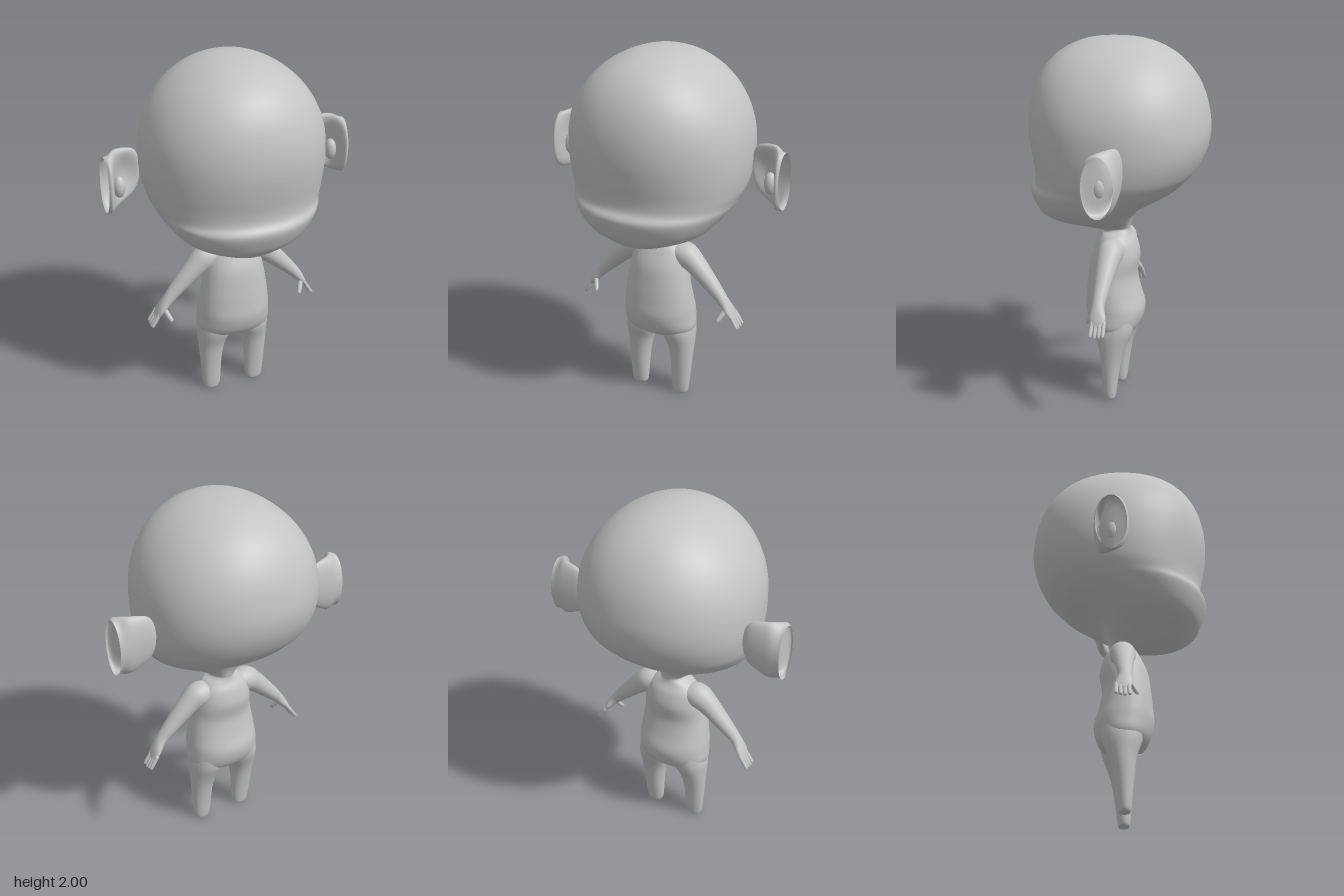
import * as THREE from 'three';

const clay = new THREE.MeshStandardMaterial({ color: 0xc4c4c4, side: THREE.DoubleSide });
clay.name = 'grey clay';

// Smoothly interpolate a short table of cross-section rows
function refine(rows, steps) {
  const out = [];
  const last = rows.length - 1;
  for (let i = 0; i < last; i++) {
    const a = rows[Math.max(i - 1, 0)], b = rows[i], c = rows[i + 1], d = rows[Math.min(i + 2, last)];
    for (let s = 0; s < steps; s++) {
      const t = s / steps;
      out.push(b.map((v, k) => 0.5 * (2 * v + (c[k] - a[k]) * t +
        (2 * a[k] - 5 * v + 4 * c[k] - d[k]) * t * t + (3 * v - a[k] - 3 * c[k] + d[k]) * t * t * t)));
    }
  }
  out.push(rows[last]);
  return out;
}

// Skin a run of rings; point(row, cos, sin, previous, next) places each vertex
function loft(name, table, point, { sides = 32, steps = 5, capEnd = true } = {}) {
  const rows = refine(table, steps);
  const pos = [], idx = [];
  rows.forEach((row, i) => {
    const prev = rows[Math.max(i - 1, 0)], next = rows[Math.min(i + 1, rows.length - 1)];
    for (let j = 0; j < sides; j++) {
      const t = (j / sides) * Math.PI * 2;
      pos.push(...point(row, Math.cos(t), Math.sin(t), prev, next));
    }
  });
  for (let i = 0; i < rows.length - 1; i++) {
    for (let j = 0; j < sides; j++) {
      const a = i * sides + j, b = i * sides + (j + 1) % sides;
      idx.push(a, b, a + sides, b, b + sides, a + sides);
    }
  }
  const cap = (ring, flip) => {
    const centre = [0, 0, 0];
    for (let j = 0; j < sides; j++) for (let k = 0; k < 3; k++) centre[k] += pos[(ring * sides + j) * 3 + k] / sides;
    const c = pos.length / 3;
    pos.push(...centre);
    for (let j = 0; j < sides; j++) {
      const a = ring * sides + j, b = ring * sides + (j + 1) % sides;
      idx.push(c, flip ? a : b, flip ? b : a);
    }
  };
  cap(0, false);
  if (capEnd) cap(rows.length - 1, true);
  const geo = new THREE.BufferGeometry();
  geo.setAttribute('position', new THREE.Float32BufferAttribute(pos, 3));
  geo.setIndex(idx);
  geo.computeVertexNormals();
  const mesh = new THREE.Mesh(geo, clay);
  mesh.name = name;
  return mesh;
}

// Horizontal, slightly squared section: [y, halfWidth, zFront, zBack, centreX]
const squared = (v) => Math.sign(v) * Math.pow(Math.abs(v), 0.93);
function section([y, w, zf, zb, cx = 0], c, s) {
  return [cx + w * squared(c), y, (zf + zb) / 2 + (zf - zb) / 2 * squared(s)];
}

// Limb section: [x, y, z, radius in the front plane, radius in z]
function limb([x, y, z, r, rz], c, s, a, b) {
  const dx = b[0] - a[0], dy = b[1] - a[1], l = Math.hypot(dx, dy);
  return [x - (dy / l) * r * c, y + (dx / l) * r * c, z + rz * s];
}

// Ear section with a hollowed front: [x, halfHeight, zFront, zBack]
function earSection([x, h, zf, zb], c, s) {
  const u = (x - 0.474) / 0.208;
  const dent = s > 0 ? 0.06 * Math.sin(Math.PI * u) * s ** 3 : 0;
  return [x, 1.405 - 0.043 * u + h * c, (zf + zb) / 2 + (zf - zb) / 2 * s - dent];
}

// Domed skull: superellipse falling from the crown to the temples
function skullRows() {
  const rows = [];
  for (let i = 0; i < 8; i++) {
    const a = (i / 8) * Math.PI / 2;
    const k = Math.cos(a);
    const bulge = (p) => Math.pow(Math.max(1 - k ** p, 0), 1 / p);
    rows.push([1.5 + 0.5 * k, 0.49 * bulge(2), 0.483 * bulge(2.5), -0.48 * bulge(2.2)]);
  }
  return rows;
}

// Face, jaw, neck and belly, continuing down from the skull
const trunkRows = [
  [1.5, 0.49, 0.48, -0.48],
  [1.4, 0.488, 0.466, -0.46],
  [1.3, 0.472, 0.448, -0.41],
  [1.24, 0.45, 0.45, -0.355],
  [1.19, 0.425, 0.478, -0.3],
  [1.1, 0.355, 0.445, -0.145],
  [1.05, 0.28, 0.41, -0.09],
  [1.0, 0.16, 0.345, -0.065],
  [0.968, 0.085, 0.22, -0.058],
  [0.95, 0.07, 0.095, -0.057],
  [0.925, 0.11, 0.1, -0.065],
  [0.88, 0.145, 0.122, -0.09],
  [0.8, 0.165, 0.155, -0.106],
  [0.7, 0.18, 0.17, -0.092],
  [0.6, 0.195, 0.18, -0.11],
  [0.5, 0.204, 0.182, -0.135],
  [0.4, 0.192, 0.14, -0.105],
  [0.354, 0.05, 0.04, -0.03],
];

const legRows = [
  [0.5, 0.09, 0.12, -0.1, 0.1],
  [0.4, 0.097, 0.12, -0.095, 0.108],
  [0.3, 0.075, 0.09, -0.058, 0.126],
  [0.2, 0.062, 0.075, -0.032, 0.132],
  [0.03, 0.049, 0.06, -0.008, 0.13],
  [0, 0.036, 0.052, -0.002, 0.129],
];

// Arm runs into a flat palm
const armRows = [
  [0.08, 0.875, 0.015, 0.045, 0.06],
  [0.15, 0.86, 0.015, 0.07, 0.07],
  [0.215, 0.815, 0.018, 0.058, 0.06],
  [0.33, 0.7, 0.022, 0.04, 0.042],
  [0.385, 0.64, 0.024, 0.03, 0.035],
  [0.425, 0.585, 0.017, 0.02, 0.045],
  [0.452, 0.543, 0.011, 0.008, 0.037],
];

// Ear flares from a thin edge by the head to an open outer end
const earRows = [
  [0.474, 0.03, -0.105, -0.125],
  [0.485, 0.085, -0.09, -0.133],
  [0.52, 0.13, -0.07, -0.14],
  [0.61, 0.163, -0.03, -0.141],
  [0.66, 0.16, 0.05, -0.137],
  [0.682, 0.157, 0.03, -0.135],
];

// Tapered digit from root to tip
function digit(name, root, tip, r) {
  const rows = [[0, 1], [0.5, 1], [0.9, 0.85], [1, 0.4]].map(([t, k]) =>
    [...root.map((v, i) => v + (tip[i] - v) * t), r * k, r * k]);
  return loft(name, rows, limb, { sides: 10, steps: 3 });
}

function makeSide(name) {
  const side = new THREE.Group();
  side.name = name;
  side.add(loft('leg', legRows, section, { sides: 28 }));
  side.add(loft('arm', armRows, limb, { sides: 24 }));

  // Four fingers and a thumb
  for (let i = 0; i < 4; i++) {
    const z = 0.045 - 0.023 * i;
    side.add(digit('finger', [0.435, 0.572, z * 0.9], [0.483, 0.49 + 0.005 * Math.abs(i - 1), z], 0.011));
  }
  side.add(digit('thumb', [0.415, 0.605, 0.04], [0.382, 0.537, 0.086], 0.014));

  // Ear shell with the small inner fold
  side.add(loft('ear', earRows, earSection, { sides: 36, capEnd: false }));
  const fold = new THREE.Mesh(new THREE.SphereGeometry(1, 16, 12), clay);
  fold.name = 'earFold';
  fold.scale.set(0.032, 0.06, 0.035);
  fold.position.set(0.608, 1.345, -0.04);
  side.add(fold);
  return side;
}

export function createModel() {
  const model = new THREE.Group();
  model.name = 'figure';
  model.add(loft('headAndTrunk', [...skullRows(), ...trunkRows], section, { sides: 64 }));
  const left = makeSide('leftSide');
  const right = makeSide('rightSide');
  right.scale.x = -1;
  model.add(left, right);
  return model;
}
